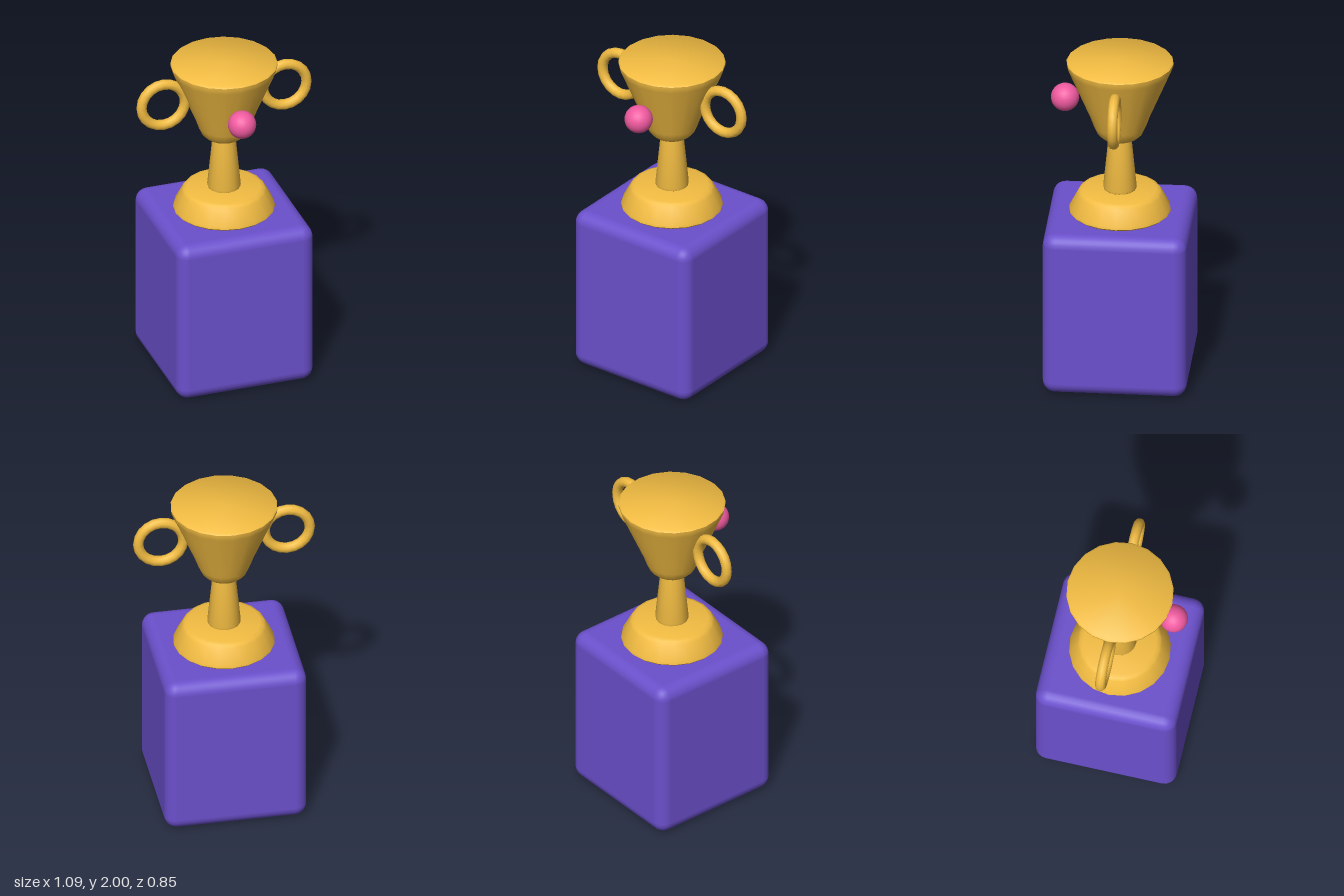
import * as THREE from 'three';
import { toCreasedNormals } from 'three/addons/utils/BufferGeometryUtils.js';
import { RoundedBoxGeometry } from 'three/addons/geometries/RoundedBoxGeometry.js';

const gold = new THREE.MeshStandardMaterial({ color: 0xf2bc42 });
const purple = new THREE.MeshStandardMaterial({ color: 0x6b50cc });
const pink = new THREE.MeshStandardMaterial({ color: 0xf05aa0 });

function addPart(group, name, geometry, material, x = 0, y = 0, z = 0) {
  const mesh = new THREE.Mesh(geometry, material);
  mesh.name = name;
  mesh.position.set(x, y, z);
  group.add(mesh);
  return mesh;
}

// Turned solid from a [radius, height] profile, listed bottom to top
function turned(profile, sides) {
  const points = profile.map(([r, y]) => new THREE.Vector2(r, y));
  return toCreasedNormals(new THREE.LatheGeometry(points, sides), 0.75);
}

export function createModel() {
  const trophy = new THREE.Group();
  trophy.name = 'trophy';

  // Rounded pedestal block
  addPart(trophy, 'pedestal', new RoundedBoxGeometry(0.85, 1.025, 0.85, 3, 0.075), purple, 0, 0.5125, 0);

  // Flared foot with a softened top edge
  addPart(trophy, 'foot', turned([
    [0, 1.025], [0.29, 1.025], [0.3, 1.035], [0.297, 1.05],
    [0.25, 1.14], [0.238, 1.157], [0.215, 1.165], [0, 1.165],
  ], 20), gold);

  // Tapered stem
  addPart(trophy, 'stem', turned([
    [0, 1.163], [0.085, 1.163], [0.096, 1.17], [0.099, 1.185],
    [0.07, 1.48], [0.068, 1.52], [0, 1.52],
  ], 16), gold);

  // Bowl with rounded bottom and closed, slightly bevelled top
  addPart(trophy, 'cup', turned([
    [0, 1.495], [0.075, 1.497], [0.11, 1.51], [0.135, 1.535], [0.155, 1.58],
    [0.176, 1.64], [0.304, 1.945], [0.314, 1.972], [0.316, 1.99], [0.305, 2], [0, 2],
  ], 20), gold);

  // Ring handles
  for (const [side, name] of [[1, 'leftHandle'], [-1, 'rightHandle']]) {
    addPart(trophy, name, new THREE.TorusGeometry(0.135, 0.031, 10, 20), gold, side * 0.378, 1.78, 0);
  }

  // Front ornament ball
  addPart(trophy, 'ornamentBall', new THREE.SphereGeometry(0.084, 20, 14), pink, 0, 1.748, 0.324);

  return trophy;
}
